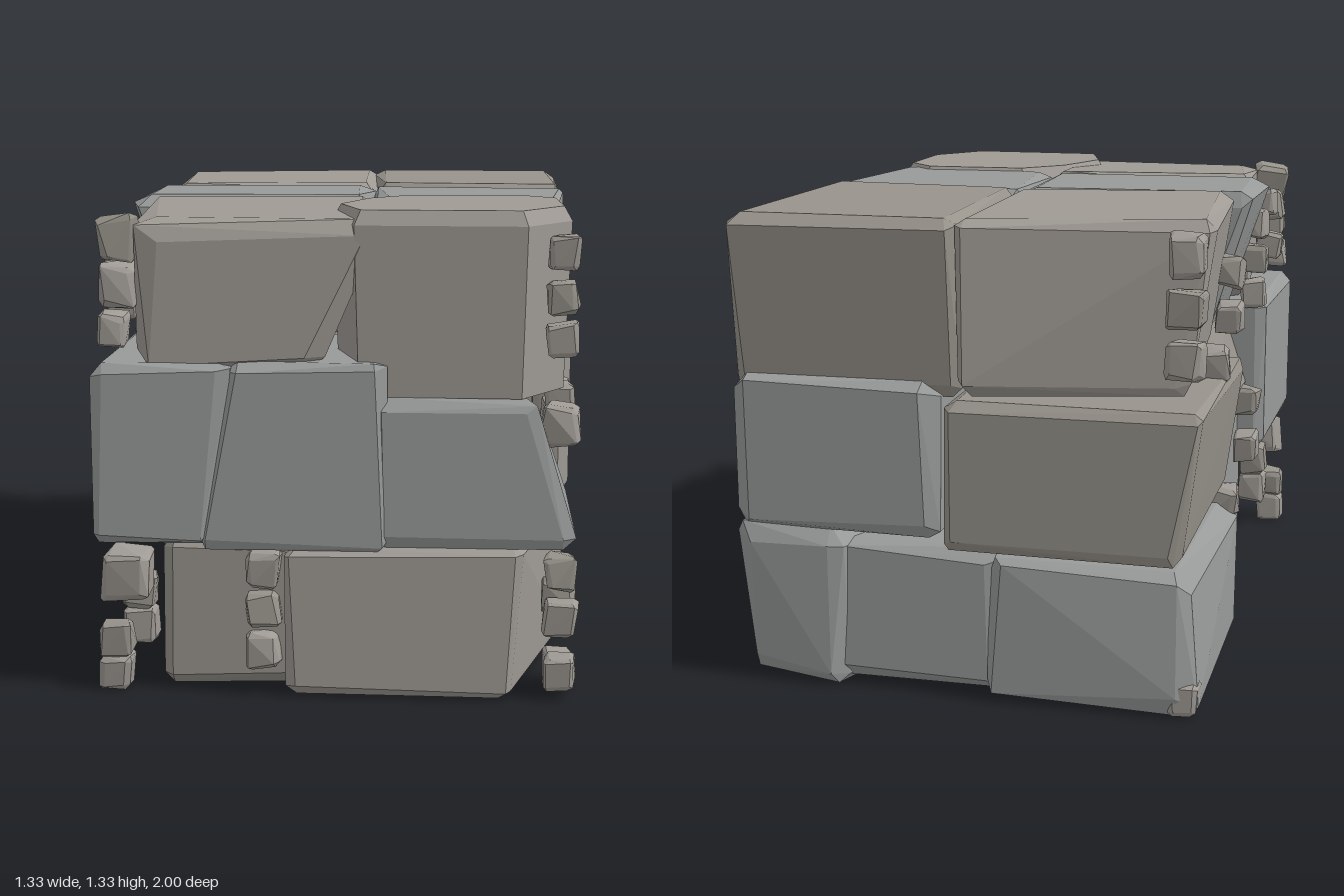
import * as THREE from 'three';
import { ConvexGeometry } from 'three/addons/geometries/ConvexGeometry.js';

const WARM = 0x9f9a94, COOL = 0x989a9a, DARK = 0x98948c;

// small seeded generator, 0..1
let seed = 7;
const rand = () => {
  seed = (seed * 16807) % 2147483647;
  return seed / 2147483647;
};
const jig = (size) => (rand() - 0.5) * size;

function addHull(parent, name, points, color) {
  const material = new THREE.MeshStandardMaterial({ color, flatShading: true });
  const mesh = new THREE.Mesh(new ConvexGeometry(points), material);
  mesh.name = name;
  parent.add(mesh);
  return mesh;
}

// Rough-hewn block: box bounds with uneven chamfers of about c on every corner.
// bend(corner, signs) may move each corner before it is chamfered.
function stonePoints(min, max, c, bend) {
  const points = [];
  for (const sx of [-1, 1]) for (const sy of [-1, 1]) for (const sz of [-1, 1]) {
    const s = [sx, sy, sz];
    const corner = new THREE.Vector3(...s.map((v, i) => (v < 0 ? min[i] : max[i])));
    if (bend) bend(corner, sx, sy, sz);
    const base = corner.toArray();
    // one point on each of the three faces that meet here
    for (let face = 0; face < 3; face++) {
      points.push(new THREE.Vector3(...base.map((v, i) =>
        (i === face ? v : v - s[i] * c * (0.4 + 1.2 * rand())))));
    }
  }
  return points;
}

export function createModel() {
  const model = new THREE.Group();
  model.name = 'stoneBlockPile';
  const addGroup = (name) => {
    const g = new THREE.Group();
    g.name = name;
    model.add(g);
    return g;
  };
  const stone = (group, name, [x0, x1], [y0, y1], [z0, z1], c, color, bend) =>
    addHull(group, name, stonePoints([x0, y0, z0], [x1, y1, z1], c, bend), color);

  // bottom course
  const bottom = addGroup('bottomCourse');
  stone(bottom, 'frontRightStone', [-0.14, 0.64], [0, 0.42], [0.41, 1], 0.025, WARM, (p, sx, sy, sz) => {
    if (sx > 0 && sz > 0) p.x -= sy < 0 ? 0.16 : 0.13;
  });
  stone(bottom, 'frontLeftStone', [-0.48, -0.08], [0.01, 0.44], [0.42, 0.95], 0.03, DARK);
  stone(bottom, 'rightMiddleStone', [0.02, 0.6], [0.01, 0.43], [-0.09, 0.44], 0.025, DARK, (p, sx, sy, sz) => {
    if (sx > 0 && sy > 0 && sz < 0) p.add(new THREE.Vector3(-0.1, -0.08, 0.02));
  });
  stone(bottom, 'leftMiddleStone', [-0.6, 0.04], [0.01, 0.7], [-0.28, 0.42], 0.035, COOL, (p, sx, sy, sz) => {
    if (sx < 0 && sz > 0) p.x += 0.03;
  });
  stone(bottom, 'backRightStone', [0.04, 0.66], [0, 0.46], [-1, -0.07], 0.035, COOL, (p, sx, sy, sz) => {
    if (sx < 0 && sz < 0) p.x += 0.3;
    if (sx > 0 && sy < 0 && sz < 0) p.add(new THREE.Vector3(-0.02, 0.02, 0.03));
  });
  stone(bottom, 'backNarrowStone', [-0.1, 0.4], [0.015, 0.42], [-0.97, -0.12], 0.03, COOL);
  stone(bottom, 'backLeftStone', [-0.66, 0.03], [0, 0.41], [-1, -0.26], 0.04, COOL, (p, sx, sy, sz) => {
    if (sx > 0 && sz < 0) p.x -= 0.1;
    if (sx < 0 && sy > 0 && sz < 0) p.add(new THREE.Vector3(0.03, -0.02, 0.03));
  });

  // middle course
  const middle = addGroup('middleCourse');
  stone(middle, 'frontLeftStone', [-0.66, -0.28], [0.42, 0.92], [0.28, 1], 0.025, COOL, (p, sx, sy) => {
    if (sx > 0 && sy < 0) p.x -= 0.05;
  });
  stone(middle, 'frontMiddleStone', [-0.33, 0.14], [0.41, 0.925], [0.42, 1], 0.025, COOL, (p, sx, sy) => {
    if (sx < 0) p.x += sy * 0.035;
  });
  stone(middle, 'frontRightStone', [0.1, 0.65], [0.42, 0.83], [0.38, 0.99], 0.025, COOL, (p, sx, sy, sz) => {
    if (sx > 0 && sy > 0) p.x -= 0.11;
    if (sx > 0 && sy > 0 && sz < 0) p.y -= 0.1;
  });
  stone(middle, 'rightMiddleStone', [0.02, 0.66], [0.41, 0.91], [-0.32, 0.39], 0.04, WARM);
  stone(middle, 'backRightStone', [0.06, 0.66], [0.45, 0.86], [-1, -0.32], 0.035, COOL, (p, sx, sy, sz) => {
    if (sy > 0) p.y -= sz * 0.025;
  });
  stone(middle, 'backLeftStone', [-0.66, 0.05], [0.42, 0.84], [-1, -0.2], 0.025, DARK, (p, sx, sy) => {
    if (sx < 0 && sy < 0) p.x += 0.05;
  });
  stone(middle, 'leftMiddleStone', [-0.6, 0.05], [0.6, 0.93], [-0.24, 0.34], 0.05, DARK, (p, sx, sy) => {
    if (sx < 0 && sy > 0) p.x += 0.08;
  });

  // top course
  const top = addGroup('topCourse');
  stone(top, 'backLeftStone', [-0.66, 0.03], [0.85, 1.33], [-1, -0.14], 0.03, WARM, (p, sx, sy, sz) => {
    if (sx < 0 && sy < 0) p.x += 0.06;
    if (sx < 0 && sz < 0) p.z += 0.16;
    if (sx < 0 && sz > 0) p.x += 0.05;
    if (sx > 0) p.x += sz * 0.02;
    if (sx > 0 && sz > 0) p.z -= 0.06;
  });
  stone(top, 'backRightStone', [0.03, 0.66], [0.84, 1.33], [-1, -0.14], 0.025, DARK, (p, sx, sy, sz) => {
    if (sx < 0) p.x += sz * 0.025;
    if (sy < 0 && sz < 0) p.z += 0.04;
    if (sx < 0 && sz > 0) p.z -= 0.05;
    if (sx > 0 && sz > 0) p.x -= 0.02;
  });
  stone(top, 'leftMiddleStone', [-0.66, 0.05], [0.88, 1.325], [-0.2, 0.35], 0.04, COOL, (p, sx, sy, sz) => {
    if (sx < 0 && sy < 0) p.x += 0.12;
    if (sx < 0 && sz < 0) p.z += 0.07;
    if (sx > 0 && sz > 0) p.z -= 0.04;
  });
  stone(top, 'rightMiddleStone', [0.04, 0.65], [0.83, 1.32], [-0.19, 0.45], 0.03, COOL, (p, sx, sy, sz) => {
    if (sx < 0 && sz > 0) p.add(new THREE.Vector3(0.04, 0, -0.06));
    if (sx > 0 && sz < 0) p.z += 0.06 * sy;
    if (sx > 0 && sy > 0 && sz > 0) p.x -= 0.04;
  });
  stone(top, 'frontLeftStone', [-0.58, 0.1], [0.89, 1.325], [0.33, 0.97], 0.045, WARM, (p, sx, sy, sz) => {
    if (sx < 0 && sz > 0) p.x += 0.04;
    if (sx < 0 && sz < 0) p.z += 0.03;
    if (sx > 0 && sy < 0) p.x -= 0.13;
    if (sy > 0 && sz > 0) p.y -= 0.02;
  });

  // eight-sided stone on the front right of the top course
  const plan = [[0.18, 0.36], [0.51, 0.35], [0.61, 0.46], [0.62, 0.78],
    [0.5, 0.97], [0.06, 0.96], [-0.01, 0.73], [0.06, 0.5]];
  const octagon = [];
  for (const [y, k] of [[0.83, 0.99], [1.29, 1.04], [1.33, 0.97]]) {
    for (const [x, z] of plan) {
      octagon.push(new THREE.Vector3(0.3 + (x - 0.3) * k, y, 0.68 + (z - 0.68) * k));
    }
  }
  addHull(top, 'frontRightStone', octagon, WARM);

  // loose pebbles, evenly spaced up a joint or edge
  const pebbles = addGroup('pebbles');
  const stack = (x, z, yLow, yHigh, count, size) => {
    for (let i = 0; i < count; i++) {
      const h = size / 2;
      const points = stonePoints([-h, -h * 1.1, -h], [h, h * 1.1, h], size * 0.13,
        (p) => p.addScalar(jig(size * 0.15)));
      const pebble = addHull(pebbles, 'pebble', points, i % 2 ? DARK : WARM);
      pebble.position.set(x, yLow + (yHigh - yLow) * i / Math.max(1, count - 1), z);
      pebble.rotation.set(jig(0.2), jig(0.2), jig(0.2));
    }
  };
  // right front edge
  stack(0.605, 0.95, 0.99, 1.22, 3, 0.08);
  stack(0.605, 0.9, 0.75, 0.75, 1, 0.1);
  stack(0.61, 0.72, 0.79, 0.79, 1, 0.08);
  stack(0.61, 0.62, 0.72, 0.72, 1, 0.09);
  stack(0.6, 0.45, 0.75, 0.75, 1, 0.11);
  stack(0.61, 0.94, 0.22, 0.35, 2, 0.085);
  stack(0.61, 0.855, 0.05, 0.26, 2, 0.085);
  stack(0.61, 0.95, 0.07, 0.07, 1, 0.08);
  // left front edge
  stack(-0.59, 0.9, 1.12, 1.25, 2, 0.11);
  stack(-0.61, 0.9, 1, 1, 1, 0.08);
  stack(-0.615, 0.72, 1.05, 1.19, 2, 0.08);
  stack(-0.615, 0.53, 1.22, 1.22, 1, 0.08);
  stack(-0.58, 0.92, 0.32, 0.32, 1, 0.12);
  stack(-0.61, 0.94, 0.05, 0.14, 2, 0.085);
  stack(-0.56, 0.83, 0.15, 0.25, 2, 0.09);
  // gap in the front of the bottom course
  stack(-0.2, 0.95, 0.12, 0.35, 3, 0.09);
  // left side joints
  stack(-0.615, 0.3, 0.95, 1.18, 3, 0.08);
  stack(-0.615, -0.22, 0.96, 1.1, 2, 0.08);
  stack(-0.615, -0.5, 0.88, 0.88, 1, 0.08);
  stack(-0.615, 0.2, 0.46, 0.61, 2, 0.08);
  stack(-0.615, -0.27, 0.41, 0.41, 1, 0.08);
  // left back edge
  stack(-0.605, -0.94, 0.97, 1.25, 3, 0.095);
  stack(-0.615, -0.95, 0.05, 0.05, 1, 0.08);

  return model;
}
